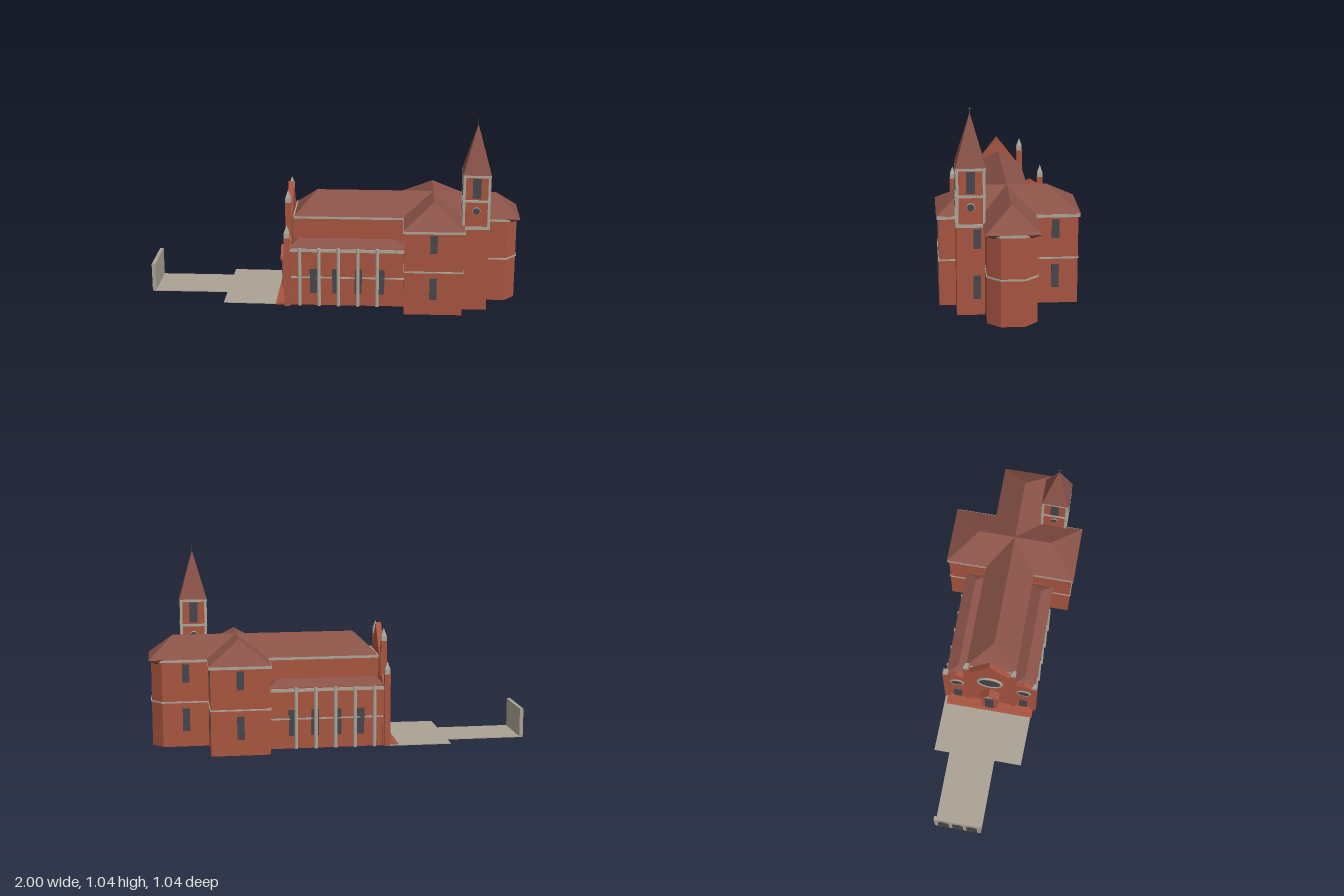
import * as THREE from 'three';

const paint = (name, color) => {
  const m = new THREE.MeshStandardMaterial({ color });
  m.name = name;
  return m;
};

export function createModel() {
  const brick = paint('brick', 0xa85540);
  const tile = paint('roof tile', 0x8a5348);
  const trim = paint('stone trim', 0xaca699);
  const paving = paint('paving', 0xa9a294);
  const dark = paint('dark glass', 0x46474d);
  const root = new THREE.Group();
  root.name = 'church';

  // Church axis: local x runs from the facade to the apse
  const church = new THREE.Group();
  church.name = 'churchAndForecourt';
  church.rotation.y = -0.313;
  church.position.set(0.511, 0, 0.126);
  root.add(church);

  const add = (name, geo, mat, x = 0, y = 0, z = 0, ry = 0) => {
    const m = new THREE.Mesh(geo, mat);
    m.name = name;
    m.position.set(x, y, z);
    m.rotation.y = ry;
    church.add(m);
    return m;
  };
  const box = (name, mat, w, h, d, x, y, z, ry) =>
    add(name, new THREE.BoxGeometry(w, h, d), mat, x, y, z, ry);
  const shapeOf = pts => new THREE.Shape(pts.map(p => new THREE.Vector2(p[0], p[1])));
  // Upright prism over a plan outline
  const prism = (name, mat, plan, y0, y1) => {
    const geo = new THREE.ExtrudeGeometry(shapeOf(plan.map(([x, z]) => [x, -z])), { depth: y1 - y0, bevelEnabled: false });
    return add(name, geo.rotateX(-Math.PI / 2), mat, 0, y0, 0);
  };
  const rect = (x0, x1, z0, z1) => [[x0, z0], [x1, z0], [x1, z1], [x0, z1]];
  // Wall outline across the axis, extruded towards the forecourt
  const crossWall = (name, mat, pts, depth, x) => {
    const geo = new THREE.ExtrudeGeometry(shapeOf(pts), { depth, bevelEnabled: false });
    return add(name, geo.rotateY(-Math.PI / 2), mat, x, 0, 0);
  };
  const fromTriangles = tris => {
    const g = new THREE.BufferGeometry();
    g.setAttribute('position', new THREE.Float32BufferAttribute(tris.flat(2), 3));
    g.computeVertexNormals();
    return g;
  };
  // Hipped roof with its ridge along local x
  const hipRoof = (name, x0, x1, half, r0, r1, y0, y1, z = 0, ry = 0) => {
    const a = [x0, y0, half], b = [x1, y0, half], c = [x1, y0, -half], d = [x0, y0, -half];
    const p = [r0, y1, 0], q = [r1, y1, 0];
    const geo = fromTriangles([[a, b, q], [a, q, p], [c, d, p], [c, p, q], [b, c, q], [d, a, p], [a, d, c], [a, c, b]]);
    return add(name, geo, tile, 0, 0, z, ry);
  };
  const E = Math.PI / 2;
  const pane = (name, w, h, x, y, z, ry = 0) => box(name, dark, w, h, 0.008, x, y, z, ry);
  const roundWindow = (name, r, x, y, z, ry) => {
    add(name, new THREE.CylinderGeometry(r, r, 0.008, 24).rotateX(E), dark, x, y, z, ry);
    add(name + 'Rim', new THREE.TorusGeometry(r, r * 0.1 + 0.002, 6, 24), trim, x, y, z, ry);
  };

  // Cross-shaped body with a canted apse
  const plan = e => {
    const n = 0.123 + e, a = 0.155 + e, b = 0.35 + e;
    const half = [[-0.76, n], [-a, n], [-a, b], [a, b], [a, n], [0.4 + e / 2, n], [0.455 + e, 0.06 + e / 2]];
    return half.concat(half.map(([x, z]) => [x, -z]).reverse());
  };
  prism('mainWalls', brick, plan(0), 0, 0.465);
  prism('beltCourse', trim, plan(0.004), 0.238, 0.246);
  prism('cornice', trim, plan(0.009), 0.458, 0.475);
  hipRoof('naveRoof', -0.755, 0.467, 0.137, -0.637, 0.339, 0.473, 0.586);
  hipRoof('transeptRoof', -0.362, 0.362, 0.165, -0.203, 0.203, 0.473, 0.586, 0, E);

  for (const s of [-1, 1]) {
    // Brackets under the apse roof corners
    const top = [[0.467, 0.473, 0.137 * s], [0.39, 0.473, 0.137 * s], [0.467, 0.473, 0.045 * s]];
    const tip = [0.427, 0.443, 0.091 * s];
    const tris = [[top[0], top[1], tip], [top[1], top[2], tip], [top[2], top[0], tip]];
    add('apseCornerBracket', fromTriangles(s > 0 ? tris.map(t => [t[0], t[2], t[1]]).map(t => [t[0], t[2], t[1]]) : tris.map(t => [t[0], t[2], t[1]])), tile);

    // Tall windows on two storeys
    for (const [y, h] of [[0.398, 0.098], [0.147, 0.122]]) {
      pane('transeptWindow', 0.038, h, 0, y, 0.35 * s);
      if (s < 0) {
        pane('transeptEastWindow', 0.038, h, 0.155, y, -0.235, E);
        pane('choirWindow', 0.038, h, 0.275, y, -0.123);
      } else pane('towerSideWindow', 0.036, h, 0.291, y, 0.165, E);
    }

    // Side aisle
    const strip = e => rect(-0.775, -0.15, s * 0.1, s * (0.243 + e));
    prism('aisleWalls', brick, strip(0), 0, 0.335);
    prism('aisleBelt', trim, strip(0.004), 0.157, 0.165);
    prism('aisleCornice', trim, strip(0.007), 0.308, 0.325);
    hipRoof('aisleRoof', -0.775, -0.155, 0.064, -0.725, -0.205, 0.333, 0.368, s * 0.189);
    for (let i = 0; i < 5; i++)
      add('aislePilaster', new THREE.CylinderGeometry(0.01, 0.01, 0.33, 10), trim, -0.719 + i * 0.105, 0.165, s * 0.25);
    for (let i = 0; i < 4; i++)
      pane('aisleWindow', 0.038, 0.14, -0.645 + i * 0.122, 0.14, s * 0.243);

    // Side bay of the facade
    crossWall('facadeSideBay', brick, [[s * 0.12, 0], [s * 0.25, 0], [s * 0.25, 0.34], [s * 0.192, 0.378], [s * 0.12, 0.345]], 0.025, -0.765);
    roundWindow('sideRoundWindow', 0.036, -0.791, 0.26, s * 0.19, E);
    pane('sideDoor', 0.045, 0.11, -0.791, 0.07, s * 0.19, E);

    // Pinnacles
    for (const [z, h] of [[0.13, 0.55], [0.25, 0.39]]) {
      box('pinnacleShaft', brick, 0.031, h, 0.031, -0.787, h / 2, s * z);
      box('pinnacleBlock', trim, 0.029, 0.027, 0.029, -0.787, h + 0.0135, s * z);
      add('pinnacleCap', new THREE.ConeGeometry(0.0205, 0.043, 4, 1).rotateY(Math.PI / 4).toNonIndexed(), trim, -0.787, h + 0.0485, s * z);
    }
  }

  // Central facade with gable and rose window
  crossWall('facadeCentre', brick, [[-0.13, 0], [0.13, 0], [0.13, 0.475], [0.112, 0.485], [0, 0.63], [-0.112, 0.485], [-0.13, 0.475]], 0.03, -0.765);
  roundWindow('roseWindow', 0.066, -0.797, 0.37, 0, E);

  // Porch
  const porch = [[-0.045, 0], [0.045, 0], [0.045, 0.195], [0, 0.245], [-0.045, 0.195]];
  crossWall('porchWalls', brick, porch, 0.04, -0.79);
  crossWall('porchGable', trim, [[-0.045, 0.195], [0.045, 0.195], [0, 0.245]], 0.006, -0.829);
  crossWall('porchRoof', brick, [[-0.056, 0.185], [0, 0.247], [0.056, 0.185], [0.056, 0.2], [0, 0.262], [-0.056, 0.2]], 0.055, -0.785);
  pane('mainDoor', 0.05, 0.15, -0.831, 0.09, 0, E);

  // Steps and forecourt
  prism('lowerStep', brick, rect(-0.85, -0.77, -0.25, 0.25), 0, 0.008);
  prism('upperStep', brick, rect(-0.83, -0.77, -0.25, 0.25), 0.008, 0.016);
  prism('forecourt', paving, [[-0.78, -0.262], [-1.135, -0.265], [-1.135, -0.177], [-1.558, -0.177], [-1.558, 0.085], [-1.138, 0.085], [-1.138, 0.238], [-0.78, 0.245]], 0, 0.004);
  box('forecourtWall', paving, 0.02, 0.16, 0.262, -1.55, 0.08, -0.046);
  for (const i of [-1, 0, 1]) {
    const arch = new THREE.Shape();
    arch.moveTo(-0.03, 0.005);
    arch.lineTo(0.03, 0.005);
    arch.lineTo(0.03, 0.09);
    arch.absarc(0, 0.09, 0.03, 0, Math.PI);
    const geo = new THREE.ExtrudeGeometry(arch, { depth: 0.004, bevelEnabled: false });
    add('wallArch', geo.rotateY(-E), dark, -1.559, 0, -0.046 + i * 0.08);
  }

  // Bell tower
  const tx = 0.221, tz = 0.196, r = 0.07;
  box('towerShaft', brick, 2 * r, 0.75, 2 * r, tx, 0.375, tz);
  for (const [y, h] of [[0.466, 0.017], [0.615, 0.013], [0.75, 0.013]])
    box('towerBand', trim, 0.148, h, 0.148, tx, y, tz);
  for (const a of [-1, 1]) for (const b of [-1, 1])
    box('towerCornerStrip', trim, 0.014, 0.28, 0.014, tx + a * 0.066, 0.612, tz + b * 0.066);
  for (let i = 0; i < 4; i++) {
    const x = tx + Math.sin(i * E) * r, z = tz + Math.cos(i * E) * r;
    pane('belfryWindow', 0.044, 0.108, x, 0.685, z, i * E);
    roundWindow('towerRoundWindow', 0.018, x, 0.56, z, i * E);
  }
  add('spire', new THREE.ConeGeometry(0.074 * Math.SQRT2, 0.262, 4, 1).rotateY(Math.PI / 4).toNonIndexed(), tile, tx, 0.887, tz);
  box('crossPost', dark, 0.003, 0.034, 0.003, tx, 1.028, tz);
  box('crossArm', dark, 0.003, 0.003, 0.02, tx, 1.036, tz);

  // Crisp facets on the four-sided caps
  church.traverse(o => {
    if (o.isMesh && o.geometry.type === 'ConeGeometry' || o.name === 'spire' || o.name === 'pinnacleCap') o.geometry.computeVertexNormals();
  });
  return root;
}
